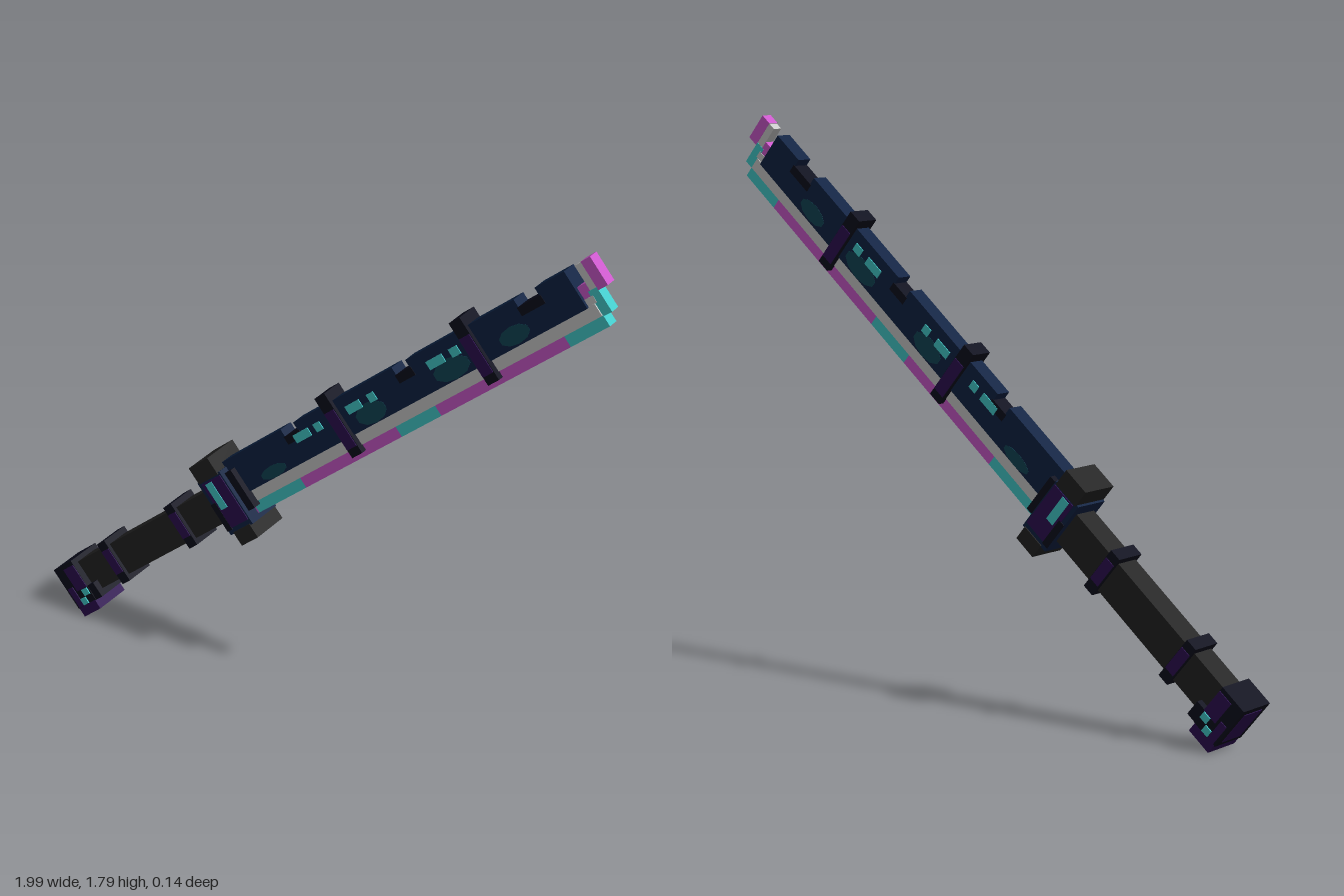
import * as THREE from 'three';

const mat = (name, color) => {
  const m = new THREE.MeshStandardMaterial({ color });
  m.name = name;
  return m;
};

export function createModel() {
  const navy = mat('navy', 0x0b2142);
  const ink = mat('ink', 0x080a1c);
  const purple = mat('purple', 0x2c0a50);
  const charcoal = mat('charcoal', 0x222222);
  const silver = mat('silver', 0xc9c9c9);
  const magenta = mat('magenta', 0xcc58cc);
  const cyan = mat('cyan', 0x42cbcb);
  const teal = mat('teal', 0x0e4454);

  // The sword is laid out along u (length) and v (width), then tilted
  const sword = new THREE.Group();
  sword.name = 'sword';

  // Box given by its extents along u and v, and half its depth
  const box = (name, m, u0, u1, v0, v1, half) => {
    const mesh = new THREE.Mesh(new THREE.BoxGeometry(u1 - u0, v1 - v0, half * 2), m);
    mesh.position.set((u0 + u1) / 2, (v0 + v1) / 2, 0);
    mesh.name = name;
    sword.add(mesh);
    return mesh;
  };
  // Thin plates on both broad faces
  const plates = (name, m, u0, u1, v0, v1, z) => {
    for (const s of [1, -1]) {
      box(name, m, u0, u1, v0, v1, 0.002).position.z = s * z;
    }
  };

  // Blade body, with teeth along the spine and dark notch floors
  box('bladeBody', navy, 0.24, 1.767, 0.675, 0.76, 0.028);
  const notches = [[0.53, 0.59], [1.045, 1.105], [1.565, 1.65]];
  let start = 0.24;
  for (const [a, b] of [...notches, [1.767, 1.767]]) {
    box('spineTooth', navy, start, a, 0.76, 0.798, 0.028);
    if (b > a) box('notchFloor', ink, a - 0.005, b + 0.005, 0.745, 0.773, 0.0295);
    start = b;
  }

  // Light strip and coloured cutting edge
  box('edgeStrip', silver, 0.24, 1.792, 0.637, 0.677, 0.022);
  const edge = [
    [0.22, 0.25, magenta], [0.25, 0.48, cyan], [0.48, 0.925, magenta],
    [0.925, 1.1, cyan], [1.1, 1.64, magenta], [1.64, 1.794, cyan],
  ];
  for (const [a, b, m] of edge) box('cuttingEdge', m, a, b, 0.601, 0.638, 0.019);

  // Stepped hook at the tip
  box('tipStrip', silver, 1.767, 1.8, 0.677, 0.7, 0.019);
  box('tipInset', magenta, 1.767, 1.8, 0.7, 0.74, 0.017);
  box('tipEdge', cyan, 1.792, 1.826, 0.634, 0.715, 0.018);
  box('tipHookStrip', silver, 1.8, 1.826, 0.715, 0.796, 0.017);
  box('tipHook', magenta, 1.826, 1.863, 0.705, 0.798, 0.019);

  // Glowing dashes on both faces
  const dashes = [[0.56, 0.63], [0.655, 0.685], [0.805, 0.868], [0.903, 0.933], [1.168, 1.235], [1.265, 1.3]];
  for (const [a, b] of dashes) plates('glowDash', cyan, a, b, 0.736, 0.764, 0.029);

  // Rounded teal patches on both faces
  const patches = [[0.41, 0.695, 0.06, 0.02], [0.882, 0.71, 0.065, 0.034], [1.238, 0.71, 0.075, 0.034], [1.5, 0.708, 0.06, 0.028]];
  for (const [u, v, ru, rv] of patches) {
    const geo = new THREE.CylinderGeometry(1, 1, 0.003, 10).rotateX(Math.PI / 2);
    for (const s of [1, -1]) {
      const patch = new THREE.Mesh(geo, teal);
      patch.scale.set(ru, rv, 1);
      patch.position.set(u, v, s * 0.0275);
      patch.name = 'tealPatch';
      sword.add(patch);
    }
  }

  // Bands clamped around the blade
  for (const u of [0.752, 1.352]) {
    box('bladeBand', ink, u - 0.023, u + 0.023, 0.617, 0.83, 0.041);
    plates('bladeBandPlate', purple, u - 0.021, u + 0.021, 0.645, 0.775, 0.042);
  }

  // Guard
  box('guardCore', navy, 0.135, 0.245, 0.585, 0.78, 0.066);
  box('guardCollar', ink, 0.235, 0.275, 0.625, 0.765, 0.05);
  box('guardTop', charcoal, 0.143, 0.237, 0.775, 0.836, 0.07);
  box('guardBottom', charcoal, 0.155, 0.235, 0.54, 0.59, 0.07);
  plates('guardPlate', purple, 0.15, 0.24, 0.605, 0.77, 0.067);
  plates('guardShade', ink, 0.135, 0.158, 0.6, 0.7, 0.0675);
  plates('guardGlow', cyan, 0.165, 0.195, 0.67, 0.765, 0.069);

  // Grip and its bands
  box('grip', charcoal, -0.57, 0.14, 0.627, 0.744, 0.043);
  for (const u of [-0.048, -0.408]) {
    box('gripBand', ink, u - 0.02, u + 0.02, 0.608, 0.764, 0.056);
    plates('gripBandPlate', purple, u - 0.018, u + 0.018, 0.645, 0.735, 0.057);
  }

  // Pommel
  box('pommelCore', ink, -0.664, -0.567, 0.605, 0.76, 0.068);
  box('pommelStep', ink, -0.57, -0.535, 0.605, 0.66, 0.066);
  box('pommelHeel', purple, -0.66, -0.572, 0.573, 0.607, 0.068);
  plates('pommelPlate', purple, -0.62, -0.568, 0.66, 0.745, 0.069);
  plates('pommelSide', purple, -0.655, -0.63, 0.607, 0.68, 0.069);
  plates('pommelGlow', cyan, -0.6, -0.572, 0.634, 0.658, 0.07);
  plates('pommelGlow', cyan, -0.628, -0.602, 0.608, 0.632, 0.07);
  box('pommelEndPlate', purple, -0.666, -0.663, 0.62, 0.74, 0.045);

  sword.rotation.z = THREE.MathUtils.degToRad(40);
  sword.position.y = -0.011;
  const group = new THREE.Group();
  group.name = 'tiltedSword';
  group.add(sword);
  return group;
}
